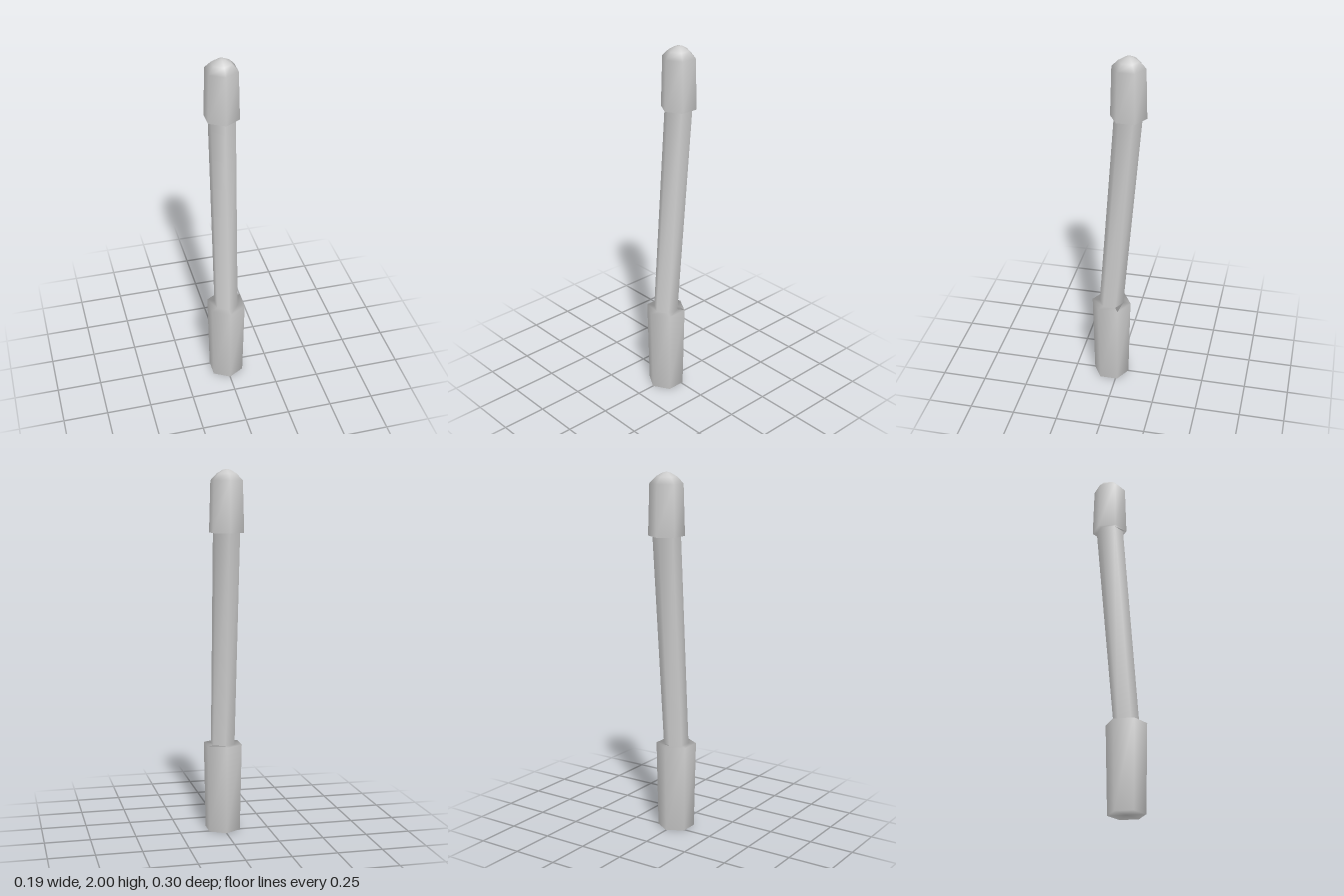
import * as THREE from 'three';

const SIDES = 6;

// Hexagonal rings [height, radius, centre z] joined into one smooth, closed skin
function loft(rings, bottom, top) {
  const pos = [], index = [];
  for (const [y, r, z] of rings) {
    for (let i = 0; i < SIDES; i++) {
      const a = (i / SIDES) * Math.PI * 2;
      pos.push(Math.sin(a) * r, y, z + Math.cos(a) * r);
    }
  }
  for (let k = 0; k < rings.length - 1; k++) {
    for (let i = 0; i < SIDES; i++) {
      const j = (i + 1) % SIDES;
      const a = k * SIDES + i, b = k * SIDES + j;
      index.push(a, b, b + SIDES, a, b + SIDES, a + SIDES);
    }
  }
  // fans closing the two ends
  const last = (rings.length - 1) * SIDES;
  const lo = rings.length * SIDES, hi = lo + 1;
  pos.push(...bottom, ...top);
  for (let i = 0; i < SIDES; i++) {
    const j = (i + 1) % SIDES;
    index.push(lo, j, i, hi, last + i, last + j);
  }
  const g = new THREE.BufferGeometry();
  g.setAttribute('position', new THREE.Float32BufferAttribute(pos, 3));
  g.setIndex(index);
  g.computeVertexNormals();
  return g;
}

export function createModel() {
  const group = new THREE.Group();
  group.name = 'cappedRod';

  const baseZ = 0.041, capZ = -0.053;
  const rings = [
    // lower sleeve
    [0, 0.101, baseZ],
    [0.49, 0.111, baseZ],
    // leaning shaft
    [0.49, 0.069, 0.041],
    [1.665, 0.076, -0.051],
    // upper cap
    [1.665, 0.098, capZ],
    [1.94, 0.09, capZ],
    // rounded tip
    [1.975, 0.056, capZ],
    [1.995, 0.022, capZ],
  ];
  const rod = new THREE.Mesh(
    loft(rings, [0, 0, baseZ], [0, 2, capZ]),
    new THREE.MeshStandardMaterial({ color: 0xcccccc })
  );
  rod.name = 'sleeveShaftAndCap';
  group.add(rod);
  return group;
}
